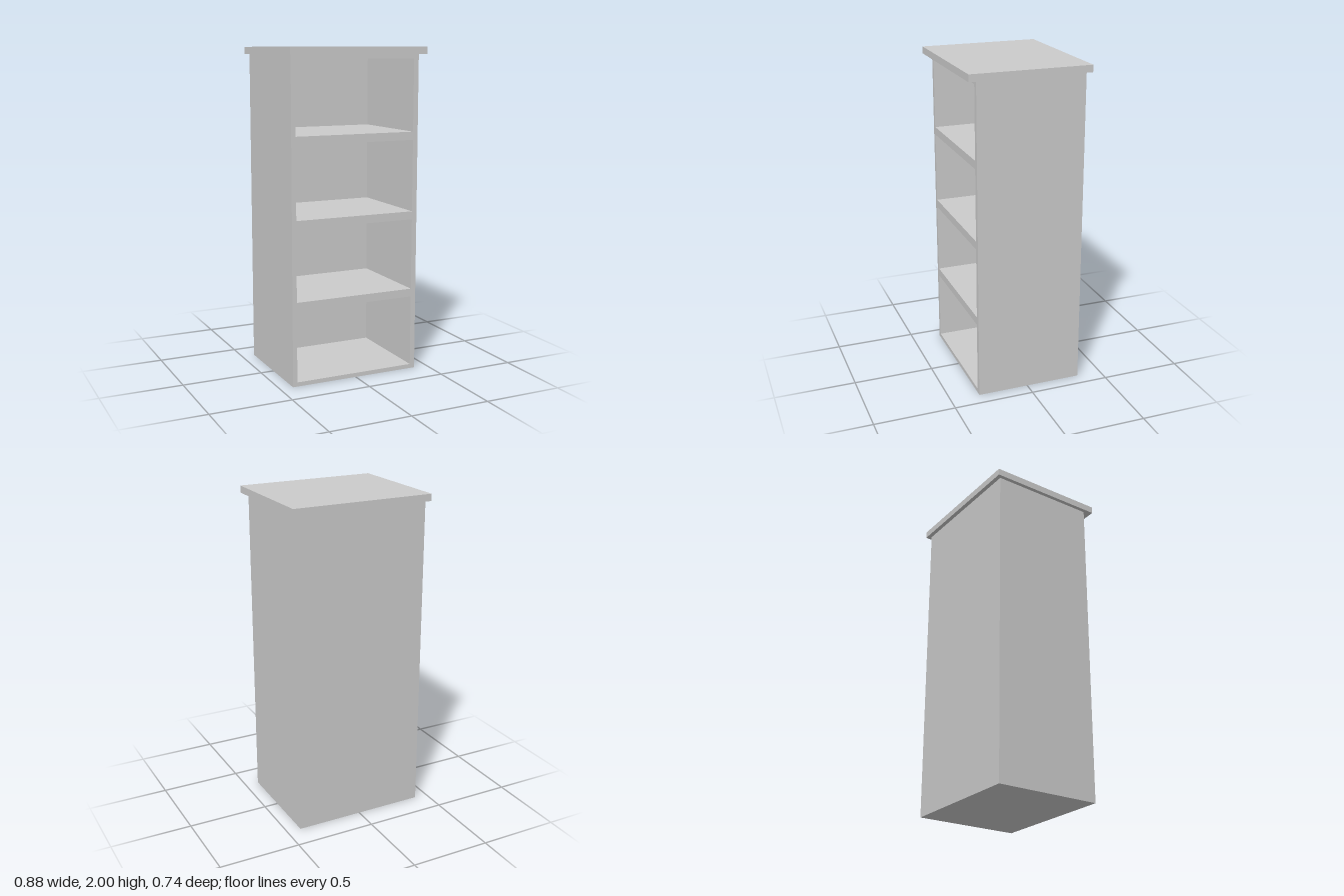
import * as THREE from 'three';

// Outer limits of the carcass and inner limits of its compartments
const OUT = { x0: -0.418, x1: 0.413, y0: 0, y1: 1.957, z0: -0.344, z1: 0.317 };
const IN = { x0: -0.39, x1: 0.381, y0: 0.026, y1: 1.931, z0: -0.283 };

export function createModel() {
  const group = new THREE.Group();
  group.name = 'bookcase';
  const material = new THREE.MeshStandardMaterial({ color: 0xcccccc });

  // Box given by its limits on each axis
  const panel = (name, [x0, x1], [y0, y1], [z0, z1]) => {
    const mesh = new THREE.Mesh(new THREE.BoxGeometry(x1 - x0, y1 - y0, z1 - z0), material);
    mesh.position.set((x0 + x1) / 2, (y0 + y1) / 2, (z0 + z1) / 2);
    mesh.name = name;
    group.add(mesh);
  };

  const height = [OUT.y0, OUT.y1];
  const depth = [OUT.z0, OUT.z1];
  const innerWidth = [IN.x0, IN.x1];
  const innerDepth = [IN.z0, OUT.z1];

  // Carcass
  panel('rightSide', [OUT.x0, IN.x0], height, depth);
  panel('leftSide', [IN.x1, OUT.x1], height, depth);
  panel('backPanel', innerWidth, height, [OUT.z0, IN.z0]);
  panel('bottomPanel', innerWidth, [OUT.y0, IN.y0], innerDepth);
  panel('ceilingPanel', innerWidth, [IN.y1, OUT.y1], innerDepth);

  // Three evenly spaced shelves
  for (let i = 0; i < 3; i++) {
    const y = 0.466 + i * 0.489;
    panel(`shelf${i + 1}`, innerWidth, [y, y + 0.05], innerDepth);
  }

  // Overhanging top board
  panel('topBoard', [-0.442, 0.442], [OUT.y1, 2], [-0.37, 0.37]);

  return group;
}
